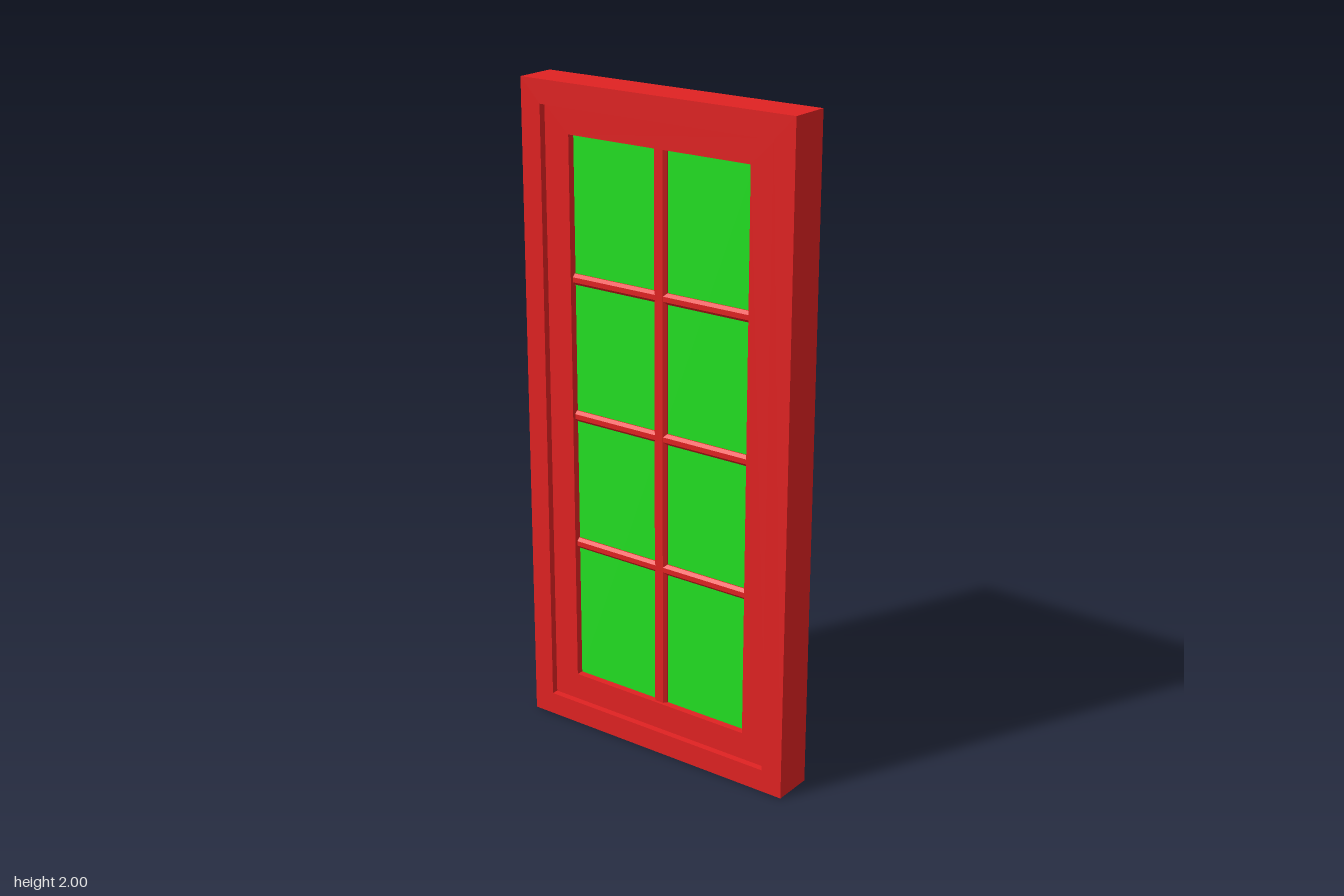
import * as THREE from 'three';

const red = new THREE.MeshStandardMaterial({ color: 0xe02222 });
const green = new THREE.MeshStandardMaterial({ color: 0x22e022 });

const rect = (P, hw, y0, y1) => new P([
  new THREE.Vector2(-hw, y0), new THREE.Vector2(hw, y0),
  new THREE.Vector2(hw, y1), new THREE.Vector2(-hw, y1),
]);

export function createModel() {
  const group = new THREE.Group();

  const add = (name, geometry, material, x = 0, y = 0, z = 0) => {
    const mesh = new THREE.Mesh(geometry, material);
    mesh.name = name;
    mesh.position.set(x, y, z);
    group.add(mesh);
    return mesh;
  };
  const box = (name, w, h, d, x, y, z, material = red) =>
    add(name, new THREE.BoxGeometry(w, h, d), material, x, y, z);

  // Rectangular ring from outer and inner [halfWidth, bottom, top], between two depths
  const ring = (name, outer, inner, z0, z1) => {
    const shape = rect(THREE.Shape, ...outer);
    shape.holes.push(rect(THREE.Path, ...inner));
    add(name, new THREE.ExtrudeGeometry(shape, { depth: z1 - z0, bevelEnabled: false }), red, 0, 0, z0);
  };

  // Chamfered glazing bar running along y
  const glazingBar = (name, width, length) => {
    const w = width / 2, d = 0.02, c = 0.009;
    const shape = new THREE.Shape([
      [-w, -d + c], [-w + c, -d], [w - c, -d], [w, -d + c],
      [w, d - c], [w - c, d], [-w + c, d], [-w, d - c],
    ].map(([x, y]) => new THREE.Vector2(x, y)));
    const geometry = new THREE.ExtrudeGeometry(shape, { depth: length, bevelEnabled: false });
    geometry.translate(0, 0, -length / 2).rotateX(-Math.PI / 2);
    return add(name, geometry, red);
  };

  // Outer frame, sash and the stop behind the sash
  ring('outerFrame', [0.463, 0, 2], [0.395, 0.07, 1.93], -0.064, 0.064);
  ring('sash', [0.395, 0.07, 1.93], [0.31, 0.155, 1.85], -0.015, 0.043);
  ring('sashStop', [0.395, 0.07, 1.93], [0.378, 0.087, 1.913], -0.034, -0.015);

  // Glass pane and glazing bars
  box('glass', 0.62, 1.695, 0.014, 0, 1.0025, 0.014, green);
  glazingBar('mullion', 0.045, 1.695).position.set(0, 1.0025, 0.014);
  for (const y of [0.595, 1.005, 1.425]) {
    const bar = glazingBar('crossBar', 0.033, 0.62);
    bar.rotation.z = Math.PI / 2;
    bar.position.set(0, y, 0.0135);
  }

  // Security grille on the back
  for (let i = -2; i <= 2; i++) {
    box('grilleBar', 0.02, 1.85, 0.018, i * 0.166, 1, -0.03);
  }
  box('grilleRail', 0.745, 0.024, 0.016, 0, 0.99, -0.045);

  return group;
}
